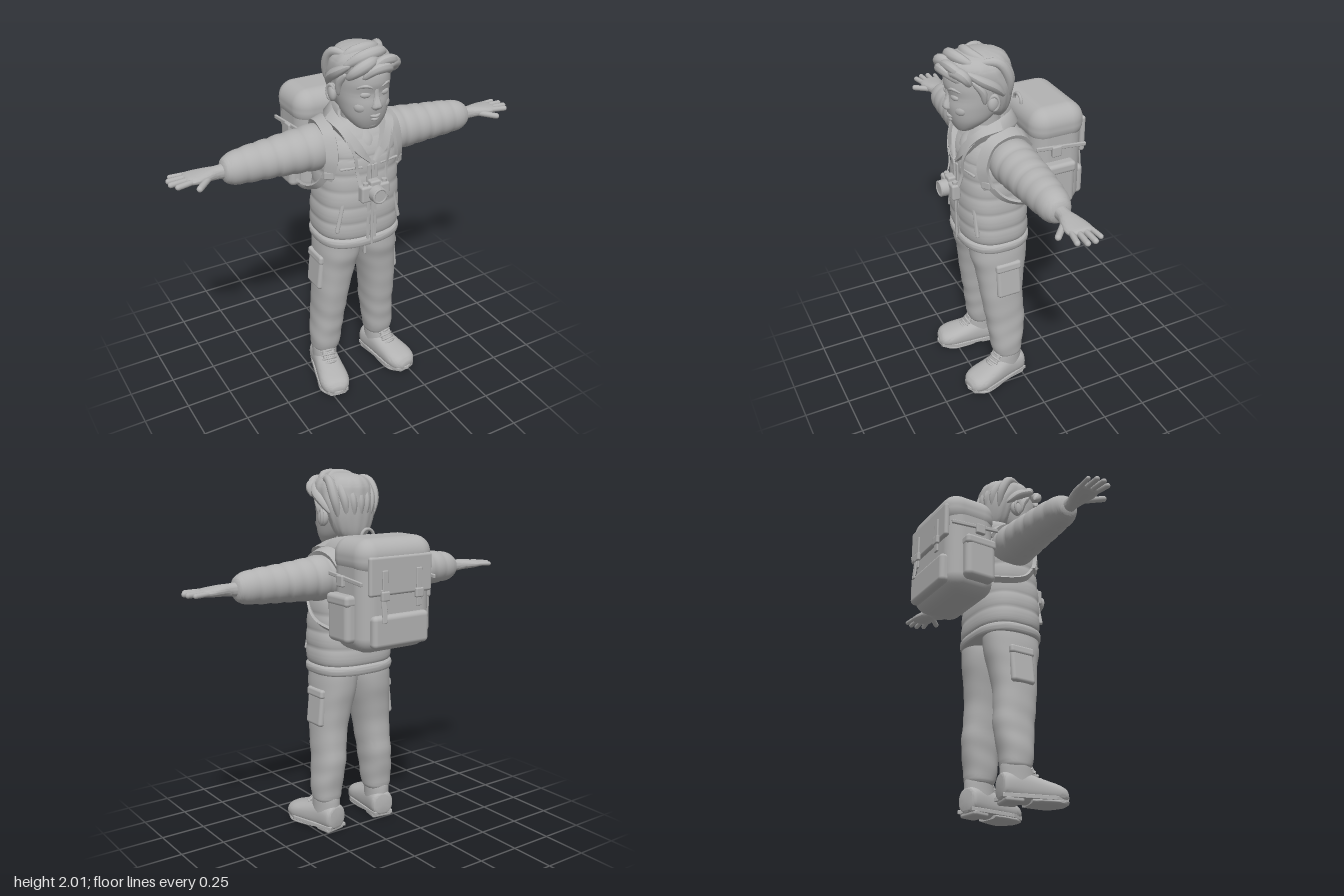
import * as THREE from 'three';
import { toCreasedNormals } from 'three/addons/utils/BufferGeometryUtils.js';
import { RoundedBoxGeometry } from 'three/addons/geometries/RoundedBoxGeometry.js';

const V = (p) => new THREE.Vector3(...p);
const curve = (pts) => new THREE.CatmullRomCurve3(pts.map(V));
const at = (g, x, y, z, rx = 0, ry = 0, rz = 0) => g.rotateX(rx).rotateY(ry).rotateZ(rz).translate(x, y, z);
const box = (w, h, d, r = 0.01) => new RoundedBoxGeometry(w, h, d, 4, Math.min(r, w / 2.02, h / 2.02, d / 2.02));
const ball = (rx, ry, rz) => new THREE.SphereGeometry(1, 20, 14).scale(rx, ry, rz);

function build(pos, idx, crease = 1) {
  const g = new THREE.BufferGeometry();
  g.setAttribute('position', new THREE.Float32BufferAttribute(pos, 3));
  g.setIndex(idx);
  return toCreasedNormals(g, crease);
}

// Loft of superellipse rings. Section: [t, centreU, centreW, radiusU, radiusW]
function loft(sections, { axis = 'y', n = 2, sub = 6, seg = 40, puff = () => 1 } = {}) {
  const pos = [], idx = [], last = sections.length - 1, rows = last * sub;
  const put = (u, t, w) => pos.push(...(axis === 'y' ? [u, t, w] : axis === 'x' ? [t, w, u] : [w, u, t]));
  const sample = (f) => {
    const i = Math.min(Math.floor(f), last - 1), s = f - i;
    const [a, b, c, d] = [i - 1, i, i + 1, i + 2].map((k) => sections[Math.max(0, Math.min(last, k))]);
    return b.map((_, k) => b[k] + 0.5 * s * (c[k] - a[k] + s * (2 * a[k] - 5 * b[k] + 4 * c[k] - d[k] + s * (3 * (b[k] - c[k]) + d[k] - a[k]))));
  };
  const pw = (v) => Math.sign(v) * Math.pow(Math.abs(v), 2 / n);
  for (let i = 0; i <= rows; i++) {
    const [t, u, w, ru, rw] = sample(i / sub);
    for (let j = 0; j < seg; j++) {
      const a = (j / seg) * Math.PI * 2, k = puff(t, a);
      put(u + pw(Math.cos(a)) * ru * k, t, w + pw(Math.sin(a)) * rw * k);
    }
  }
  for (let i = 0; i < rows; i++) for (let j = 0; j < seg; j++) {
    const a = i * seg + j, b = i * seg + (j + 1) % seg;
    idx.push(a, a + seg, b, b, a + seg, b + seg);
  }
  const s0 = sections[0], s1 = sections[last], c = (rows + 1) * seg, top = rows * seg;
  put(s0[1], s0[0], s0[2]);
  put(s1[1], s1[0], s1[2]);
  for (let j = 0; j < seg; j++) {
    const k = (j + 1) % seg;
    idx.push(c, j, k, c + 1, top + k, top + j);
  }
  return build(pos, idx);
}

// Flat strap swept along a curve, facing away from a centre point
function belt(pts, width, thick, centre, steps = 40) {
  const c = curve(pts), pos = [], idx = [], o = V(centre);
  for (let i = 0; i <= steps; i++) {
    const p = c.getPoint(i / steps), t = c.getTangent(i / steps), out = p.clone().sub(o);
    out.addScaledVector(t, -out.dot(t)).normalize();
    const side = t.clone().cross(out);
    for (const [a, b] of [[-1, -1], [1, -1], [1, 1], [-1, 1]])
      pos.push(...p.clone().addScaledVector(side, a * width / 2).addScaledVector(out, b * thick / 2));
    if (i < steps) for (let j = 0; j < 4; j++) {
      const q = i * 4 + j, r = i * 4 + (j + 1) % 4;
      idx.push(q, r, q + 4, r, r + 4, q + 4);
    }
  }
  idx.push(0, 2, 1, 0, 3, 2);
  const e = steps * 4;
  idx.push(e, e + 1, e + 2, e, e + 2, e + 3);
  return build(pos, idx, 0.7);
}

// Open sheet through several guide curves
function sheet(rows, n = 40) {
  const pos = [], idx = [];
  rows.forEach((r) => curve(r).getPoints(n).forEach((p) => pos.push(...p)));
  for (let i = 0; i < rows.length - 1; i++) for (let j = 0; j < n; j++) {
    const a = i * (n + 1) + j, b = a + n + 1;
    idx.push(a, a + 1, b, a + 1, b + 1, b);
  }
  return build(pos, idx, 1.2);
}

// Tapered lock of hair or soft fold
function lock(pts, r, flat = 0.25) {
  const c = curve(pts), g = new THREE.TubeGeometry(c, 20, r, 10), p = g.attributes.position;
  for (let i = 0; i < p.count; i++) {
    const f = Math.floor(i / 11) / 20, m = c.getPointAt(f), k = flat + (1 - flat) * Math.sin(Math.PI * f) ** 0.7;
    const v = new THREE.Vector3().fromBufferAttribute(p, i).sub(m).multiplyScalar(f === 0 || f === 1 ? 0.02 : k).add(m);
    p.setXYZ(i, v.x, v.y, v.z);
  }
  g.computeVertexNormals();
  return g;
}

function finger(a, b, r) {
  const d = V(b).sub(V(a)), g = new THREE.CapsuleGeometry(r, d.length(), 5, 12);
  g.applyQuaternion(new THREE.Quaternion().setFromUnitVectors(new THREE.Vector3(0, 1, 0), d.clone().normalize()));
  return g.translate(...V(a).addScaledVector(d, 0.5));
}

function mirrored(geo) {
  const g = geo.index ? geo.toNonIndexed() : geo.clone();
  g.scale(-1, 1, 1);
  for (const at of Object.values(g.attributes)) {
    const s = at.itemSize, a = at.array;
    for (let i = 0; i < a.length; i += 3 * s) for (let k = 0; k < s; k++)
      [a[i + s + k], a[i + 2 * s + k]] = [a[i + 2 * s + k], a[i + s + k]];
  }
  return g;
}

export function createModel() {
  const clay = new THREE.MeshStandardMaterial({ color: 0xb2b2b2, side: THREE.DoubleSide });
  clay.name = 'clay grey';
  const model = new THREE.Group();
  model.name = 'hiker';
  const add = (name, geo) => {
    const m = new THREE.Mesh(geo, clay);
    m.name = name;
    model.add(m);
  };
  const pair = (name, geo) => { add(name + 'Left', geo); add(name + 'Right', mirrored(geo)); };
  const quilt = (start, step, amount) => (t) => 1 - amount + amount * 1.4 * Math.sqrt(Math.abs(Math.sin(Math.PI * (t - start) / step)));

  // Head and face
  add('head', loft([[1.582, 0, 0.25, 0.03, 0.02], [1.595, 0, 0.235, 0.065, 0.05], [1.65, 0, 0.2, 0.108, 0.108], [1.72, 0, 0.175, 0.126, 0.146],
    [1.78, 0, 0.165, 0.132, 0.152], [1.84, 0, 0.165, 0.132, 0.165], [1.9, 0, 0.165, 0.12, 0.15], [1.95, 0, 0.16, 0.06, 0.08]], { n: 2.2 }));
  add('neck', loft([[1.46, 0, 0.1, 0.09, 0.09], [1.56, 0, 0.11, 0.075, 0.078], [1.68, 0, 0.12, 0.075, 0.08]]));
  add('nose', loft([[1.7, 0, 0.315, 0.012, 0.01], [1.712, 0, 0.322, 0.027, 0.02], [1.73, 0, 0.323, 0.025, 0.024], [1.77, 0, 0.315, 0.014, 0.016], [1.81, 0, 0.315, 0.012, 0.01]], { seg: 20 }));
  pair('ear', at(ball(0.024, 0.046, 0.034), 0.142, 1.757, 0.135, -0.2, 0.3));
  pair('earRim', at(new THREE.TorusGeometry(0.03, 0.008, 8, 20).scale(0.8, 1.25, 1), 0.154, 1.76, 0.137, 0, Math.PI / 2 - 0.4));
  pair('eye', at(ball(0.027, 0.016, 0.012), 0.054, 1.782, 0.303, 0, 0.3));
  pair('eyebrow', lock([[0.02, 1.815, 0.322], [0.055, 1.83, 0.312], [0.095, 1.815, 0.28]], 0.011));
  pair('cheek', at(ball(0.036, 0.03, 0.02), 0.067, 1.715, 0.283, 0, 0.5));
  add('upperLip', lock([[-0.05, 1.677, 0.288], [0, 1.666, 0.316], [0.05, 1.677, 0.288]], 0.009));
  add('lowerLip', lock([[-0.035, 1.656, 0.29], [0, 1.646, 0.308], [0.035, 1.656, 0.29]], 0.009));
  add('chin', at(ball(0.042, 0.025, 0.025), 0, 1.613, 0.268));

  // Hair: swept cap, crown strands and quiff
  add('hairCap', loft([[1.63, 0, 0.07, 0.05, 0.05], [1.68, 0, 0.075, 0.1, 0.077], [1.75, 0, 0.08, 0.132, 0.093], [1.82, 0, 0.095, 0.148, 0.112],
    [1.88, 0, 0.14, 0.153, 0.155], [1.93, 0, 0.158, 0.143, 0.163], [1.97, 0, 0.16, 0.105, 0.128], [1.99, 0, 0.16, 0.04, 0.05]],
  { seg: 72, puff: (t, a) => 1 + 0.014 * Math.sin(14 * a + 9 * t) }));
  for (let i = -3; i <= 3; i++) {
    const s = i / 3;
    add('backStrand', lock([[s * 0.09, 1.955, 0.21], [s * 0.125, 1.95, 0.1], [s * 0.13, 1.86, 0.0 + 0.045 * s * s], [s * 0.1, 1.74, 0.005 + 0.035 * s * s]], 0.026));
  }
  pair('sideStrand', lock([[0.115, 1.93, 0.27], [0.146, 1.885, 0.2], [0.15, 1.84, 0.13], [0.135, 1.78, 0.07]], 0.026));
  pair('sideburn', lock([[0.125, 1.88, 0.24], [0.134, 1.82, 0.19], [0.131, 1.75, 0.175]], 0.02));
  [[[0.13, 1.88, 0.25], [0.09, 1.94, 0.31], [0.01, 1.945, 0.33], [-0.05, 1.9, 0.33]], [[0.09, 1.87, 0.29], [0.05, 1.915, 0.335], [-0.03, 1.915, 0.345], [-0.08, 1.87, 0.32]],
    [[0.02, 1.95, 0.29], [-0.05, 1.945, 0.325], [-0.11, 1.91, 0.31], [-0.14, 1.865, 0.27]], [[0.1, 1.95, 0.22], [0.04, 1.975, 0.27], [-0.06, 1.965, 0.28], [-0.14, 1.91, 0.23]],
    [[0.11, 1.95, 0.14], [0.03, 1.975, 0.2], [-0.07, 1.965, 0.2], [-0.14, 1.9, 0.16]], [[0.13, 1.86, 0.25], [0.125, 1.91, 0.28], [0.08, 1.925, 0.31], [0.03, 1.9, 0.335]]]
    .forEach((p, i) => add('quiffLock', lock(p, i < 2 ? 0.026 : 0.031)));

  // Quilted jacket
  add('jacketBody', loft([[0.965, 0, 0.105, 0.23, 0.18], [1.0, 0, 0.105, 0.235, 0.185], [1.1, 0, 0.108, 0.234, 0.185], [1.2, 0, 0.11, 0.226, 0.182], [1.32, 0, 0.11, 0.218, 0.175],
    [1.43, 0, 0.108, 0.212, 0.168], [1.51, 0, 0.095, 0.205, 0.15], [1.56, 0, 0.085, 0.165, 0.125], [1.6, 0, 0.085, 0.1, 0.095]],
  { n: 2.6, sub: 12, seg: 56, puff: quilt(0.97, 0.092, 0.025) }));
  add('jacketHem', loft([[0.915, 0, 0.105, 0.215, 0.17], [0.922, 0, 0.105, 0.235, 0.188], [0.955, 0, 0.105, 0.24, 0.192], [0.972, 0, 0.105, 0.225, 0.178]], { n: 2.6 }));
  add('zipper', box(0.014, 0.47, 0.012, 0.004).translate(0, 1.16, 0.295));
  pair('zipperFlap', box(0.02, 0.47, 0.01, 0.004).translate(0.02, 1.16, 0.289));
  pair('jacketPocket', at(box(0.022, 0.2, 0.02, 0.008), 0.165, 1.12, 0.255, 0, 0.55, 0.22));
  pair('chestSeam', at(box(0.12, 0.012, 0.014, 0.005), 0.11, 1.385, 0.268, 0, 0.2));
  pair('collar', sheet([
    [[0.004, 1.415, 0.284], [0.05, 1.5, 0.262], [0.085, 1.56, 0.205], [0.088, 1.6, 0.1], [0.05, 1.61, 0.03], [0, 1.61, 0.015]],
    [[0.008, 1.415, 0.294], [0.065, 1.52, 0.278], [0.112, 1.6, 0.22], [0.117, 1.65, 0.09], [0.07, 1.668, 0.005], [0, 1.67, -0.01]],
    [[0.014, 1.405, 0.297], [0.095, 1.48, 0.288], [0.158, 1.585, 0.225], [0.162, 1.61, 0.08], [0.1, 1.61, -0.02], [0, 1.61, -0.04]],
    [[0.014, 1.4, 0.28], [0.09, 1.47, 0.262], [0.14, 1.55, 0.2], [0.15, 1.575, 0.08], [0.09, 1.57, -0.01], [0, 1.57, -0.03]]]));
  add('shirt', loft([[1.42, 0, 0.12, 0.07, 0.15], [1.5, 0, 0.12, 0.085, 0.135], [1.55, 0, 0.115, 0.085, 0.105], [1.565, 0, 0.115, 0.08, 0.09]]));
  add('shirtNeckband', at(new THREE.TorusGeometry(0.083, 0.012, 10, 36), 0, 1.558, 0.118, Math.PI / 2 + 0.2));

  // Sleeves and hands
  pair('sleeve', loft([[0.08, 0.08, 1.45, 0.09, 0.09], [0.18, 0.07, 1.45, 0.12, 0.121], [0.3, 0.068, 1.447, 0.117, 0.113], [0.45, 0.066, 1.443, 0.106, 0.101],
    [0.6, 0.068, 1.44, 0.09, 0.091], [0.68, 0.07, 1.437, 0.076, 0.079], [0.71, 0.07, 1.436, 0.06, 0.062], [0.722, 0.07, 1.436, 0.042, 0.042]],
  { axis: 'x', sub: 10, puff: quilt(0.04, 0.082, 0.045) }));
  pair('hand', loft([[0.69, 0.07, 1.436, 0.037, 0.038], [0.75, 0.07, 1.436, 0.035, 0.033], [0.8, 0.07, 1.438, 0.05, 0.029], [0.86, 0.068, 1.437, 0.064, 0.024],
    [0.9, 0.064, 1.437, 0.06, 0.019], [0.912, 0.064, 1.437, 0.045, 0.012]], { axis: 'x', n: 2.3 }));
  [[0.017, 0.965, 0.005], [0.048, 0.985, 0.044], [0.08, 0.987, 0.085], [0.11, 0.965, 0.125]]
    .forEach(([z, tip, tz], i) => pair('finger' + (i + 1), finger([0.88, 1.438, z], [tip, 1.435, tz], i ? 0.0145 : 0.0125)));
  pair('thumb', finger([0.8, 1.432, 0.1], [0.875, 1.424, 0.17], 0.016));

  // Trousers
  pair('trouserLeg', loft([[0.172, 0.175, 0.082, 0.062, 0.066], [0.2, 0.175, 0.082, 0.079, 0.083], [0.3, 0.17, 0.083, 0.086, 0.097], [0.4, 0.16, 0.082, 0.087, 0.11],
    [0.6, 0.146, 0.1, 0.096, 0.12], [0.75, 0.126, 0.1, 0.108, 0.138], [0.85, 0.114, 0.103, 0.115, 0.158], [0.94, 0.11, 0.105, 0.11, 0.16]],
  { n: 2.3, sub: 8, puff: (t, a) => 1 + (t < 0.5 ? 0.018 : 0.006) * Math.sin(52 * t + 2 * Math.sin(a)) }));
  pair('cargoPocket', at(box(0.04, 0.2, 0.14, 0.018), 0.226, 0.725, 0.095, 0, 0, 0.1));
  pair('cargoFlap', at(box(0.046, 0.05, 0.148, 0.015), 0.221, 0.81, 0.095, 0, 0, 0.1));
  pair('kneeSeam', at(new THREE.TorusGeometry(1, 0.04, 6, 36).scale(0.096, 0.118, 0.12), 0.144, 0.64, 0.1, Math.PI / 2));
  add('fly', box(0.016, 0.1, 0.02, 0.006).translate(0, 0.875, 0.225));

  // Boots, toes turned out
  const boot = (name, g) => pair(name, g.rotateY(0.17).translate(0.165, 0, 0));
  boot('bootFoot', loft([[-0.01, 0.08, 0, 0.045, 0.045], [0.005, 0.085, 0, 0.07, 0.066], [0.1, 0.085, 0, 0.08, 0.07], [0.2, 0.072, 0.003, 0.066, 0.079], [0.28, 0.062, 0.005, 0.054, 0.084],
    [0.33, 0.055, 0.005, 0.042, 0.068], [0.352, 0.048, 0.005, 0.022, 0.038]], { axis: 'z', n: 2.4 }));
  boot('bootShaft', loft([[0.06, 0, 0.085, 0.066, 0.09], [0.13, 0, 0.083, 0.068, 0.088], [0.19, 0, 0.078, 0.07, 0.08], [0.205, 0, 0.078, 0.064, 0.073]]));
  boot('bootTongue', at(box(0.07, 0.12, 0.025, 0.012), 0, 0.16, 0.165, -0.5));
  const outline = new THREE.Shape([[-0.055, 0.012], [0, -0.012], [0.055, 0.012], [0.07, -0.1], [0.088, -0.26], [0.06, -0.338], [0.005, -0.358], [-0.055, -0.338], [-0.08, -0.26], [-0.068, -0.1]]
    .map(([x, y]) => new THREE.Vector2(x, y)));
  boot('bootWelt', new THREE.ExtrudeGeometry(outline, { depth: 0.016, bevelSize: 0.003, bevelThickness: 0.003, bevelSegments: 2 }).rotateX(-Math.PI / 2).translate(0, 0.022, 0));
  boot('bootHeel', box(0.125, 0.03, 0.1, 0.012).translate(0, 0.015, 0.05));
  boot('bootTread', at(loft([[0.14, 0.014, 0, 0.014, 0.066], [0.2, 0.014, 0.003, 0.014, 0.08], [0.28, 0.014, 0.005, 0.014, 0.084], [0.345, 0.02, 0.005, 0.012, 0.05]], { axis: 'z', n: 3 }), 0, 0, 0));
  for (let i = 0; i < 4; i++) {
    const y = 0.135 + i * 0.017, z = 0.213 - i * 0.016;
    boot('bootLace', lock([[-0.045, y - 0.012, z - 0.02], [0, y + 0.006, z], [0.045, y - 0.012, z - 0.02]], 0.007, 0.7));
  }

  // Backpack
  add('packBody', box(0.46, 0.55, 0.29, 0.085).translate(0, 1.37, -0.2));
  add('packLid', box(0.475, 0.2, 0.31, 0.09).translate(0, 1.585, -0.203));
  add('packLidFlap', box(0.4, 0.2, 0.03, 0.014).translate(0, 1.5, -0.35));
  add('packBackPocket', box(0.36, 0.17, 0.06, 0.025).translate(0, 1.215, -0.345));
  add('packHandle', at(new THREE.TorusGeometry(0.04, 0.009, 8, 20, Math.PI), 0, 1.665, -0.07));
  pair('packSidePocket', box(0.08, 0.24, 0.18, 0.03).translate(0.238, 1.27, -0.18));
  pair('packSideFlap', box(0.09, 0.06, 0.185, 0.02).translate(0.237, 1.37, -0.18));
  pair('packSideStrap', at(box(0.014, 0.022, 0.29, 0.005), 0.237, 1.48, -0.2, -0.1));
  pair('packSideBuckle', box(0.025, 0.06, 0.055, 0.008).translate(0.243, 1.465, -0.17));
  pair('packBackStrap', box(0.034, 0.2, 0.012, 0.005).translate(0.11, 1.43, -0.368));
  pair('packBackBuckle', box(0.052, 0.05, 0.022, 0.008).translate(0.11, 1.4, -0.37));
  add('packLooseStrap', at(box(0.03, 0.17, 0.01, 0.004), 0.12, 1.35, -0.375, 0.1));

  // Shoulder straps
  const chest = [0.1, 1.38, 0.08];
  pair('shoulderStrap', belt([[0.15, 1.5, -0.06], [0.17, 1.57, 0.0], [0.18, 1.59, 0.08], [0.188, 1.555, 0.175], [0.193, 1.44, 0.223], [0.205, 1.35, 0.208], [0.212, 1.32, 0.195]], 0.06, 0.022, chest));
  pair('lowerStrap', belt([[0.207, 1.35, 0.205], [0.232, 1.26, 0.13], [0.244, 1.215, 0.04], [0.235, 1.19, -0.08]], 0.034, 0.014, chest));
  pair('strapBuckle', at(box(0.055, 0.045, 0.02, 0.008), 0.207, 1.345, 0.212, 0, 0.6));

  // Camera on a neck strap
  add('cameraBody', box(0.165, 0.09, 0.05, 0.012).translate(-0.005, 1.253, 0.318));
  add('cameraPrism', box(0.06, 0.035, 0.045, 0.01).translate(-0.005, 1.303, 0.318));
  add('cameraLens', at(new THREE.CylinderGeometry(0.043, 0.046, 0.05, 28), -0.005, 1.253, 0.358, Math.PI / 2));
  add('lensRing', at(new THREE.TorusGeometry(0.037, 0.007, 8, 28), -0.005, 1.253, 0.38));
  pair('cameraDial', at(new THREE.CylinderGeometry(0.014, 0.014, 0.016, 16), 0.055, 1.304, 0.318));
  pair('cameraStrap', belt([[0.075, 1.285, 0.308], [0.085, 1.36, 0.288], [0.1, 1.46, 0.287], [0.135, 1.555, 0.245], [0.14, 1.6, 0.14]], 0.016, 0.007, [0, 1.4, 0.05]));
  return model;
}
